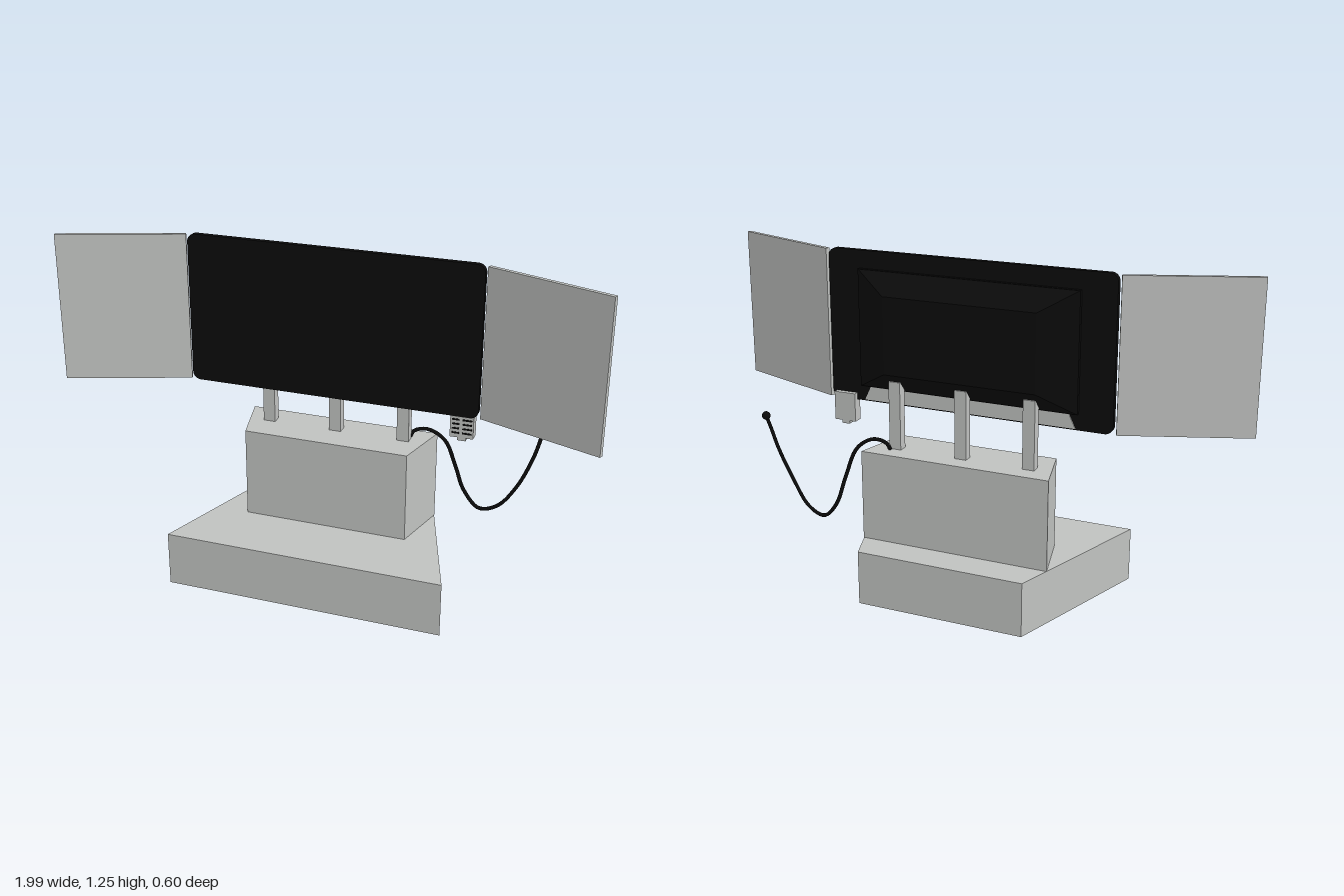
import * as THREE from 'three';

const mat = (name, color, side = THREE.FrontSide) => {
  const m = new THREE.MeshStandardMaterial({ color, side });
  m.name = name;
  return m;
};

export function createModel() {
  const group = new THREE.Group();
  group.name = 'displayStand';
  const grey = mat('lightGrey', 0xc0c2c0);
  const black = mat('black', 0x0b0b0b);

  const add = (name, geometry, material, x = 0, y = 0, z = 0, parent = group) => {
    const mesh = new THREE.Mesh(geometry, material);
    mesh.name = name;
    mesh.position.set(x, y, z);
    parent.add(mesh);
    return mesh;
  };
  const box = (name, w, h, d, material, x, y, z, parent) =>
    add(name, new THREE.BoxGeometry(w, h, d), material, x, y, z, parent);

  // Box whose front and back faces have their own half width and half height
  const taperedBox = (front, back, zFront, zBack) => {
    const g = new THREE.BoxGeometry(2, 2, 2);
    const p = g.attributes.position;
    for (let i = 0; i < p.count; i++) {
      const isFront = p.getZ(i) > 0;
      const [hw, hh] = isFront ? front : back;
      p.setXYZ(i, p.getX(i) * hw, p.getY(i) * hh, isFront ? zFront : zBack);
    }
    g.computeVertexNormals();
    return g;
  };

  // Stacked pedestal: wide foot and narrower block
  add('foot', taperedBox([0.52, 0.1025], [0.32, 0.1025], 0.3, -0.3), grey, 0, 0.1025);
  add('pedestalBlock', taperedBox([0.31, 0.17], [0.363, 0.17], 0.043, -0.175), grey, 0, 0.375);

  // Posts carrying the screen
  for (const x of [-0.26, 0, 0.26]) box('post', 0.045, 0.26, 0.036, grey, x, 0.67, -0.088);

  // Screen with rounded corners
  const w = 0.545, b = 0.695, t = 1.255, r = 0.03;
  const outline = new THREE.Shape();
  outline.absarc(w - r, b + r, r, -Math.PI / 2, 0);
  outline.absarc(w - r, t - r, r, 0, Math.PI / 2);
  outline.absarc(-w + r, t - r, r, Math.PI / 2, Math.PI);
  outline.absarc(-w + r, b + r, r, Math.PI, Math.PI * 1.5);
  const panel = new THREE.ExtrudeGeometry(outline, { depth: 0.021, bevelEnabled: false, curveSegments: 6 });
  add('screen', panel, black, 0, 0, -0.046);

  // Rear housing: shallow rim, then a sloping hump
  box('housingRim', 0.84, 0.435, 0.016, black, 0, 0.9725, -0.053);
  add('housingHump', taperedBox([0.42, 0.2175], [0.29, 0.1425], -0.06, -0.127), black, 0, 0.9725);

  // Pale strip under the housing
  const strip = new THREE.Shape([[-0.41, 0.7], [0.41, 0.7], [0.385, 0.752], [-0.385, 0.752]]
    .map(([x, y]) => new THREE.Vector2(x, y)));
  add('rearStrip', new THREE.ExtrudeGeometry(strip, { depth: 0.005, bevelEnabled: false }), grey, 0, 0, -0.05);

  // Side wings angled toward the front
  for (const s of [-1, 1]) {
    const wing = box('sideWing', 0.47, 0.555, 0.016, grey, s * 0.774, 0.9725, 0.045);
    wing.rotation.y = -s * 0.355;
  }

  // Connector box with dark slots
  const connector = new THREE.Group();
  connector.name = 'connectorBox';
  group.add(connector);
  box('connectorBody', 0.085, 0.08, 0.038, grey, 0.487, 0.653, -0.047, connector);
  box('connectorBack', 0.085, 0.03, 0.019, grey, 0.487, 0.706, -0.0565, connector);
  box('connectorTab', 0.03, 0.014, 0.03, grey, 0.487, 0.607, -0.047, connector);
  for (let i = 0; i < 4; i++) {
    const y = 0.682 - i * 0.017;
    box('slot', 0.026, 0.006, 0.003, black, 0.465, y, -0.0275, connector);
    box('slot', 0.034, 0.006, 0.003, black, 0.507, y, -0.0275, connector);
  }

  // Hanging cable with a round end
  const path = new THREE.CatmullRomCurve3([
    [0.275, 0.545, -0.115], [0.29, 0.57, -0.12], [0.34, 0.58, -0.127], [0.4, 0.54, -0.14],
    [0.44, 0.43, -0.16], [0.47, 0.325, -0.183], [0.53, 0.265, -0.176], [0.6, 0.29, -0.168],
    [0.67, 0.385, -0.158], [0.72, 0.5, -0.168], [0.742, 0.58, -0.178], [0.75, 0.635, -0.195],
  ].map((p) => new THREE.Vector3(...p)));
  add('cable', new THREE.TubeGeometry(path, 72, 0.007, 8), black);
  add('cableEnd', new THREE.SphereGeometry(0.016, 12, 8), black, 0.75, 0.635, -0.195);

  return group;
}
